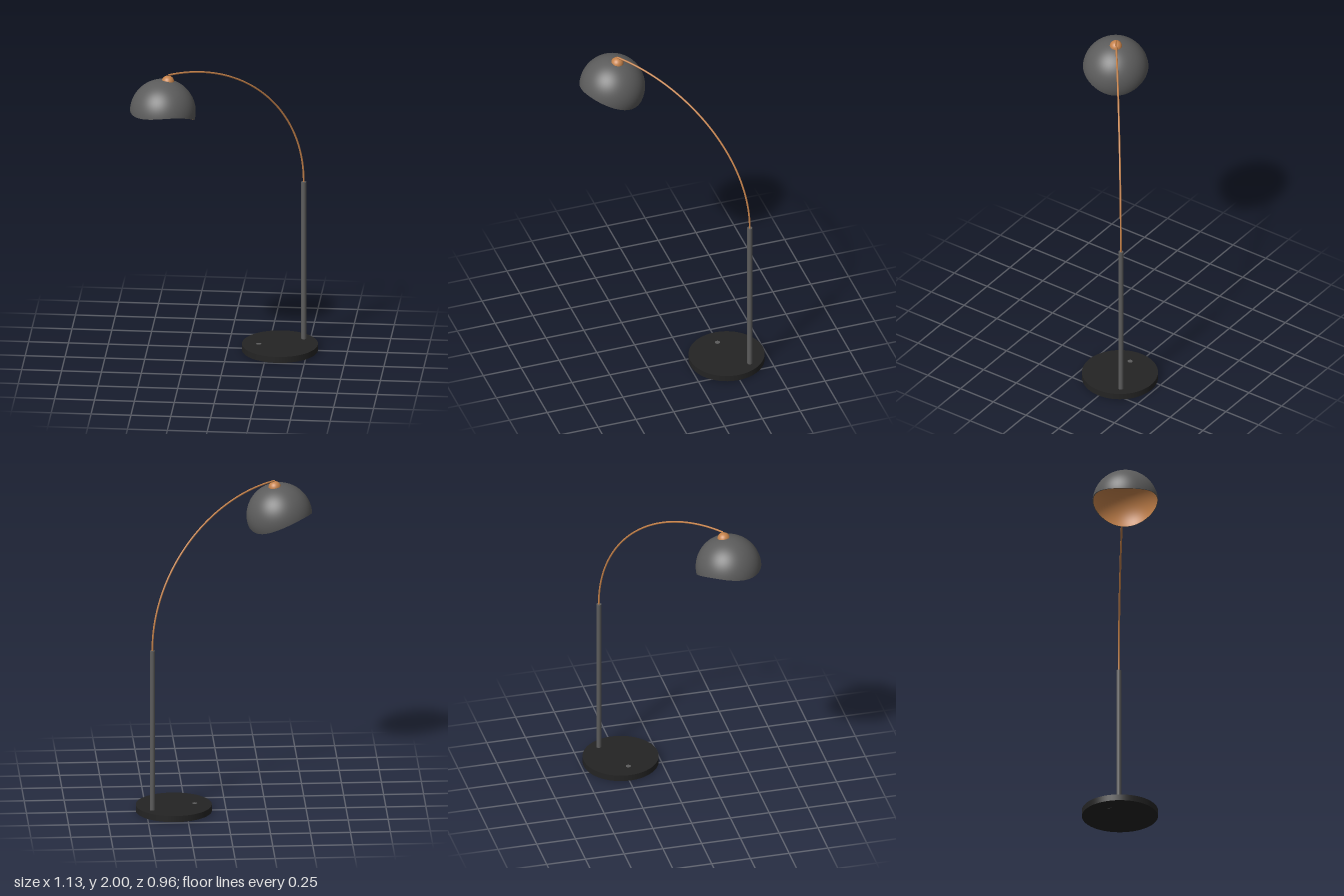
import * as THREE from 'three';
import { ParametricGeometry } from 'three/addons/geometries/ParametricGeometry.js';

const material = (name, color) => Object.assign(new THREE.MeshStandardMaterial({ color }), { name });

export function createModel() {
  const black = material('black base', 0x242424);
  const grey = material('dark grey metal', 0x5c5c5c);
  const copper = material('copper', 0xc5824b);
  const lamp = new THREE.Group();
  lamp.name = 'arcFloorLamp';

  const add = (name, geometry, mat, x = 0, y = 0, z = 0, parent = lamp) => {
    const mesh = new THREE.Mesh(geometry, mat);
    mesh.name = name;
    mesh.position.set(x, y, z);
    parent.add(mesh);
    return mesh;
  };

  // Horizontal direction from the pole to the shade, and the one across it
  const along = new THREE.Vector3(-0.8, 0, 0.6);
  const across = new THREE.Vector3(0.6, 0, 0.8);

  // Base disc, its small foot plug and the pole
  add('base', new THREE.CylinderGeometry(0.238, 0.238, 0.04, 64), black, 0.327, 0.02, -0.245);
  add('basePlug', new THREE.CylinderGeometry(0.016, 0.016, 0.041, 16), grey, 0.195, 0.0205, -0.23);
  add('pole', new THREE.CylinderGeometry(0.016, 0.016, 1.05, 24), grey, 0.467, 0.56, -0.35);

  // Arm: a quarter ellipse rising from the pole to the shade
  const points = [new THREE.Vector3(0.467, 1.0, -0.35)];
  for (let i = 0; i <= 24; i++) {
    const t = (i / 24) * Math.PI / 2;
    points.push(new THREE.Vector3(0.467, 1.09 + 0.904 * Math.sin(t), -0.35)
      .addScaledVector(along, 0.997 * (1 - Math.cos(t))));
  }
  add('arm', new THREE.TubeGeometry(new THREE.CatmullRomCurve3(points), 96, 0.006, 10), copper);

  // Shade: a dome with a wavy rim, lowest on the side towards the pole
  const shade = new THREE.Group();
  shade.name = 'shade';
  shade.position.set(-0.363, 1.76, 0.273);
  lamp.add(shade);
  const rimHeight = (a) => -0.01 + 0.0425 * Math.cos(a) - 0.028 * Math.cos(2 * a);
  const place = (a, polar, r, target) => target.set(0, r * Math.cos(polar), 0)
    .addScaledVector(along, r * Math.sin(polar) * Math.cos(a))
    .addScaledVector(across, r * Math.sin(polar) * Math.sin(a));
  const R = 0.206, r = 0.201;
  const rimPolar = (a) => Math.acos(rimHeight(a) / R);
  const dome = (radius, turn) => new ParametricGeometry((u, v, target) => {
    const a = turn * u * Math.PI * 2;
    place(a, 0.02 + v * (rimPolar(a) - 0.02), radius, target);
  }, 64, 24);
  add('shadeOuter', dome(R, -1), grey, 0, 0, 0, shade);
  add('shadeInner', dome(r, 1), copper, 0, 0, 0, shade);
  add('shadeRim', new ParametricGeometry((u, v, target) => {
    const a = -u * Math.PI * 2;
    place(a, rimPolar(a), R + v * (r - R), target);
  }, 64, 1), grey, 0, 0, 0, shade);

  // Domed cap joining the arm to the shade
  add('shadeCap', new THREE.SphereGeometry(0.04, 32, 16, 0, Math.PI * 2, 0, Math.PI / 2), copper,
    -0.333, 1.95, 0.25);

  return lamp;
}
